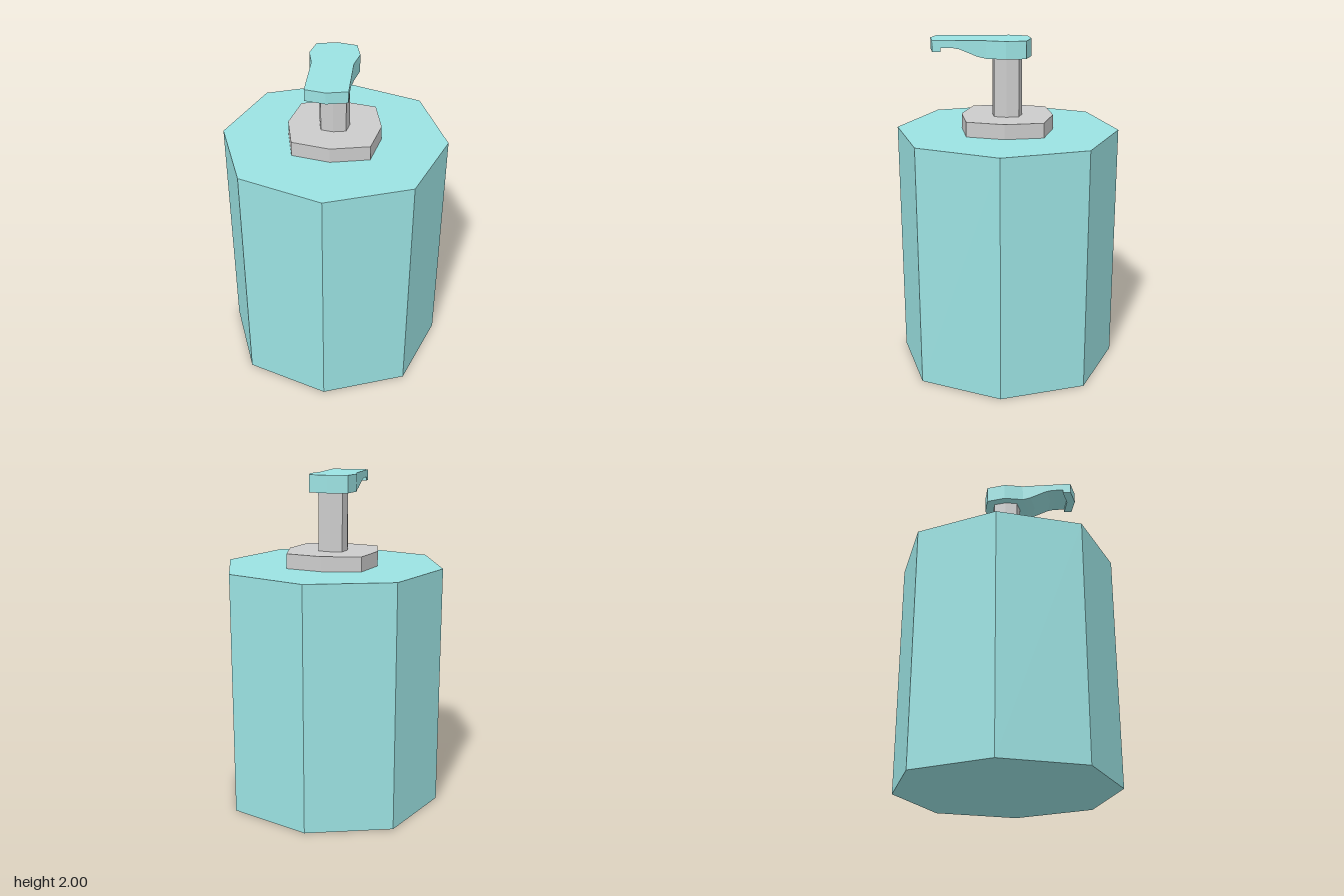
import * as THREE from 'three';

const teal = new THREE.MeshStandardMaterial({ color: 0x9be2e2, flatShading: true });
const grey = new THREE.MeshStandardMaterial({ color: 0xcccccc, flatShading: true });

// Eight-sided prism whose corners lie on the axes (axis) and on the diagonals (diag, diag)
function octagon(name, axis, diag, y0, y1, material) {
  const geometry = new THREE.CylinderGeometry(1, 1, y1 - y0, 8);
  const p = geometry.attributes.position;
  for (let i = 0; i < p.count; i++) {
    const x = p.getX(i), z = p.getZ(i);
    const onDiagonal = Math.abs(x * z) > 0.1;
    const r = onDiagonal ? diag * Math.SQRT2 : axis;
    p.setX(i, x * r);
    p.setZ(i, z * r);
  }
  geometry.translate(0, (y0 + y1) / 2, 0);
  geometry.computeVertexNormals();
  const mesh = new THREE.Mesh(geometry, material);
  mesh.name = name;
  return mesh;
}

// Pump head: six-point cross-sections swept from back to spout tip
function pumpHead() {
  const top = 2;
  // [edge z, centre z, half width, underside y]
  const rows = [
    [-0.116, -0.142, 0.116, 1.897],
    [0, 0, 0.142, 1.897],
    [0.116, 0.142, 0.116, 1.897],
    [0.165, 0.185, 0.116, 1.908],
    [0.22, 0.24, 0.116, 1.93],
    [0.27, 0.29, 0.116, 1.95],
    [0.305, 0.325, 0.116, 1.956],
    [0.377, 0.4, 0.116, 1.956],
    [0.377, 0.4, 0.116, 1.934],
    [0.427, 0.452, 0.116, 1.934],
  ];
  const rings = rows.map(([ze, zc, w, y]) => [
    [w, top, ze], [0, top, zc], [-w, top, ze],
    [-w, y, ze], [0, y, zc], [w, y, ze],
  ]);
  const positions = [];
  const same = (p, q) => p.every((v, i) => v === q[i]);
  const tri = (a, b, c) => {
    if (!same(a, b) && !same(b, c) && !same(a, c)) positions.push(...a, ...b, ...c);
  };
  const quad = (a, b, c, d) => { tri(a, b, d); tri(b, c, d); };

  for (let i = 0; i < rings.length - 1; i++) {
    for (let j = 0; j < 6; j++) {
      const k = (j + 1) % 6;
      quad(rings[i][j], rings[i][k], rings[i + 1][k], rings[i + 1][j]);
    }
  }
  // Pointed end faces
  const f = rings[rings.length - 1], b = rings[0];
  quad(f[0], f[1], f[4], f[5]);
  quad(f[1], f[2], f[3], f[4]);
  quad(b[5], b[4], b[1], b[0]);
  quad(b[4], b[3], b[2], b[1]);

  const geometry = new THREE.BufferGeometry();
  geometry.setAttribute('position', new THREE.Float32BufferAttribute(positions, 3));
  geometry.computeVertexNormals();
  const mesh = new THREE.Mesh(geometry, teal);
  mesh.name = 'pumpHead';
  return mesh;
}

export function createModel() {
  const group = new THREE.Group();
  group.name = 'soapDispenser';
  group.add(
    octagon('bottle', 0.666, 0.486, 0, 1.46, teal),
    octagon('collar', 0.274, 0.225, 1.46, 1.548, grey),
    octagon('stem', 0.088, 0.073, 1.548, 1.9, grey),
    pumpHead(),
  );
  return group;
}
